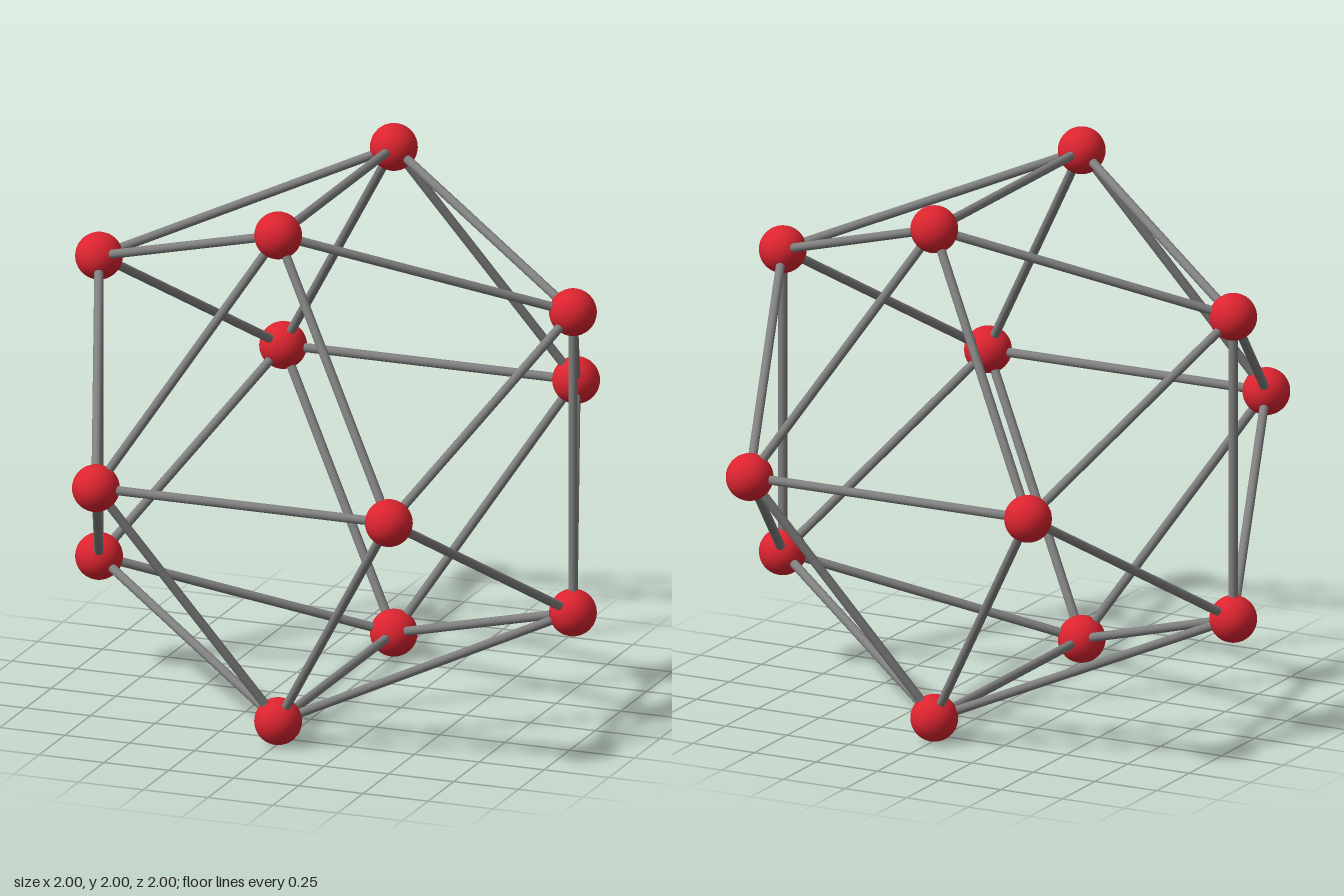
import * as THREE from 'three';

const A = 0.565, B = 0.914;        // half-sides of the three golden rectangles
const BALL = 0.086, ROD = 0.0165;

export function createModel() {
  const group = new THREE.Group();
  const red = new THREE.MeshStandardMaterial({ color: 0xdc2430 });
  red.name = 'red';
  const grey = new THREE.MeshStandardMaterial({ color: 0x808080 });
  grey.name = 'grey';

  // Twelve corners of the icosahedron
  const corners = [];
  for (const s of [-1, 1]) for (const t of [-1, 1]) {
    corners.push(
      new THREE.Vector3(s * A, 1, t * B),
      new THREE.Vector3(0, 1 + s * B, t * A),
      new THREE.Vector3(s * B, 1 + t * A, 0));
  }

  // Ball at each corner
  const ballGeometry = new THREE.SphereGeometry(BALL, 32, 20);
  corners.forEach((p) => {
    const ball = new THREE.Mesh(ballGeometry, red);
    ball.name = 'cornerBall';
    ball.position.copy(p);
    group.add(ball);
  });

  // Rod along each of the thirty edges
  const up = new THREE.Vector3(0, 1, 0);
  const rodGeometry = new THREE.CylinderGeometry(ROD, ROD, 1, 16);
  for (let i = 0; i < 12; i++) for (let j = i + 1; j < 12; j++) {
    const edge = corners[j].clone().sub(corners[i]);
    const length = edge.length();
    if (length > 2.4 * A) continue;
    const rod = new THREE.Mesh(rodGeometry, grey);
    rod.name = 'edgeRod';
    rod.position.copy(corners[i]).addScaledVector(edge, 0.5);
    rod.quaternion.setFromUnitVectors(up, edge.normalize());
    rod.scale.y = length;
    group.add(rod);
  }
  return group;
}
